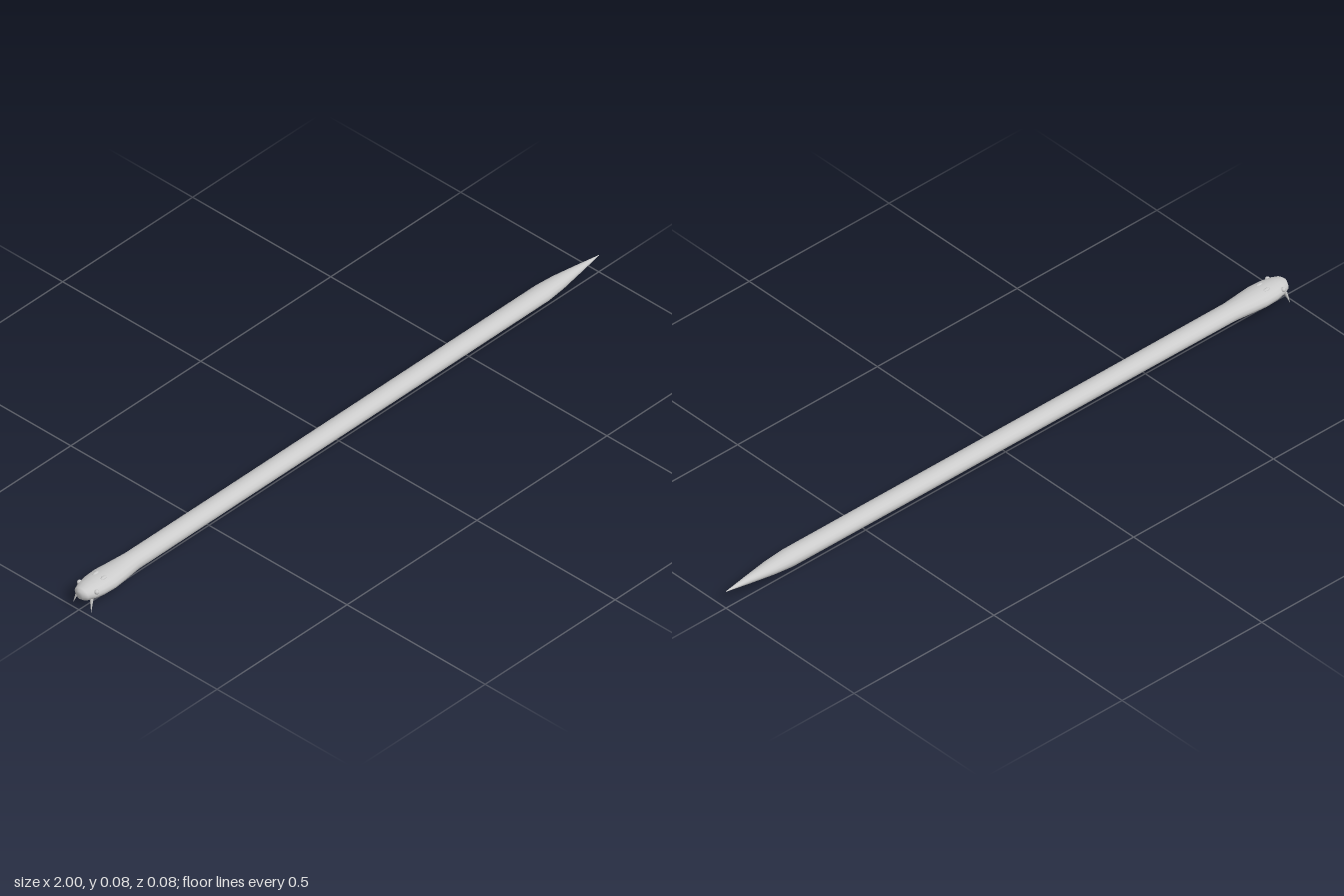
import * as THREE from 'three';

const material = new THREE.MeshStandardMaterial({ color: 0xcccccc });

// Loft elliptical sections [x, centre y, half height, half width] along x, capped at both ends
function loft(sections, sides) {
  const positions = [], index = [];
  for (const [x, y, h, w] of sections) {
    for (let i = 0; i < sides; i++) {
      const a = (i / sides) * Math.PI * 2;
      positions.push(x, y + Math.sin(a) * h, Math.cos(a) * w);
    }
  }
  for (let s = 0; s < sections.length - 1; s++) {
    for (let i = 0; i < sides; i++) {
      const j = (i + 1) % sides;
      const a = s * sides + i, b = s * sides + j;
      const c = a + sides, d = b + sides;
      index.push(a, c, b, b, c, d);
    }
  }
  // end caps
  const last = sections.length - 1;
  for (const [s, flip] of [[0, false], [last, true]]) {
    const centre = positions.length / 3;
    positions.push(sections[s][0], sections[s][1], 0);
    for (let i = 0; i < sides; i++) {
      const a = s * sides + i, b = s * sides + (i + 1) % sides;
      if (flip) index.push(centre, b, a);
      else index.push(centre, a, b);
    }
  }
  const geometry = new THREE.BufferGeometry();
  geometry.setAttribute('position', new THREE.Float32BufferAttribute(positions, 3));
  geometry.setIndex(index);
  geometry.computeVertexNormals();
  return geometry;
}

export function createModel() {
  const group = new THREE.Group();
  group.name = 'snake';

  const add = (name, geometry) => {
    const mesh = new THREE.Mesh(geometry, material);
    mesh.name = name;
    group.add(mesh);
    return mesh;
  };

  // Head, long body and tapered tail in one skin
  add('body', loft([
    [-0.998, 0.047, 0.012, 0.012],
    [-0.99, 0.047, 0.018, 0.025],
    [-0.97, 0.047, 0.022, 0.034],
    [-0.94, 0.047, 0.025, 0.040],
    [-0.90, 0.047, 0.026, 0.042],
    [-0.86, 0.047, 0.025, 0.038],
    [-0.80, 0.048, 0.024, 0.031],
    [-0.40, 0.049, 0.0235, 0.030],
    [0.00, 0.050, 0.0235, 0.030],
    [0.40, 0.051, 0.0235, 0.030],
    [0.78, 0.052, 0.023, 0.030],
    [0.84, 0.053, 0.019, 0.025],
    [0.92, 0.054, 0.011, 0.013],
    [1.00, 0.055, 0.0008, 0.0008],
  ], 16));

  const up = new THREE.Vector3(0, 1, 0);
  for (const side of [1, -1]) {
    const label = side > 0 ? 'front' : 'back';

    // Fang splaying outward below the snout
    const root = new THREE.Vector3(-0.978, 0.036, side * 0.025);
    const tip = new THREE.Vector3(-0.988, 0, side * 0.033);
    const direction = tip.clone().sub(root);
    const fang = add(label + 'Fang', new THREE.ConeGeometry(0.005, direction.length(), 8));
    fang.position.copy(root).add(tip).multiplyScalar(0.5);
    fang.quaternion.setFromUnitVectors(up, direction.normalize());

    // Eye
    const eye = add(label + 'Eye', new THREE.SphereGeometry(0.007, 12, 8));
    eye.position.set(-0.965, 0.056, side * 0.031);

    // Brow ridge
    const brow = add(label + 'Brow', new THREE.SphereGeometry(0.006, 10, 6));
    brow.scale.set(2, 0.7, 1);
    brow.position.set(-0.92, 0.069, side * 0.014);
  }

  return group;
}
